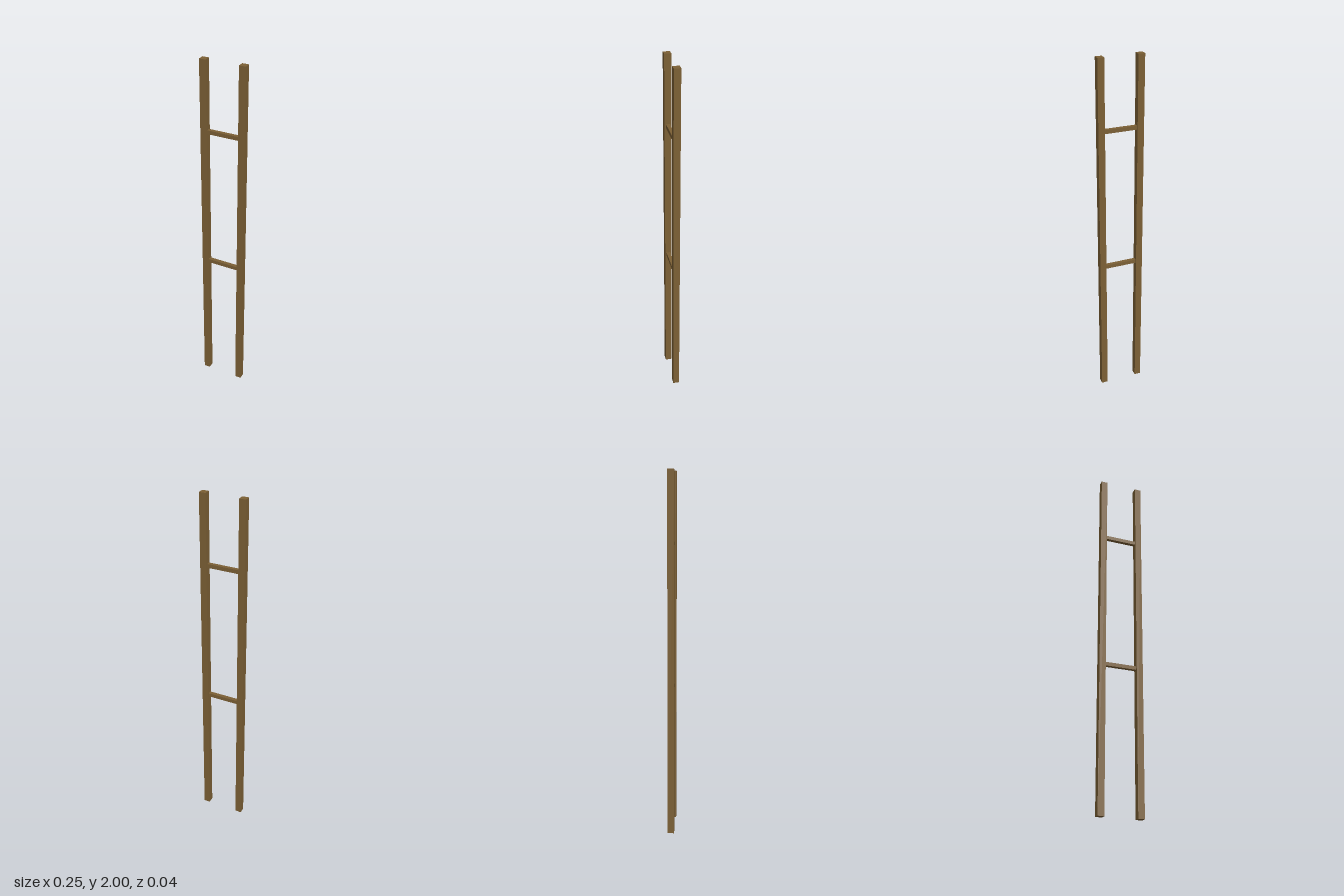
import * as THREE from 'three';

export function createModel() {
  const group = new THREE.Group();
  const wood = new THREE.MeshStandardMaterial({ color: 0x7c6035 });
  wood.name = 'brown wood';

  const postSize = 0.036;
  const postX = 0.108;
  const rungSize = 0.021;

  const addBeam = (name, size, position) => {
    const mesh = new THREE.Mesh(new THREE.BoxGeometry(...size), wood);
    mesh.name = name;
    mesh.position.set(...position);
    group.add(mesh);
  };

  // Two upright posts
  for (const [name, side] of [['leftPost', 1], ['rightPost', -1]]) {
    addBeam(name, [postSize, 2, postSize], [side * postX, 1, 0]);
  }

  // Two rungs, set slightly into the posts
  for (const [name, y] of [['lowerRung', 0.814], ['upperRung', 1.615]]) {
    addBeam(name, [2 * postX - postSize + 0.01, rungSize, rungSize], [0, y, 0]);
  }

  return group;
}
